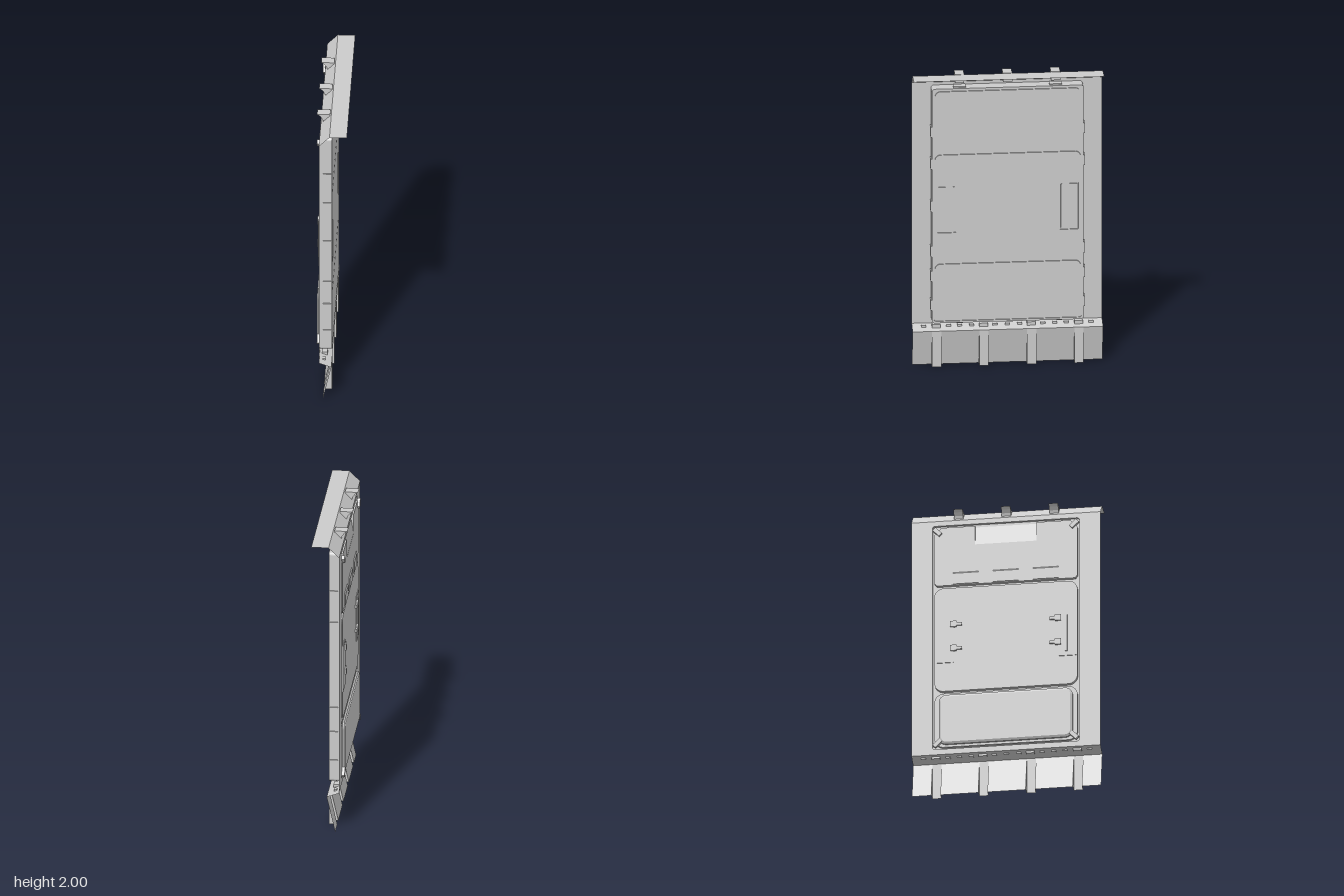
import * as THREE from 'three';

const mat = new THREE.MeshStandardMaterial({ color: 0xcccccc, side: THREE.DoubleSide });

// Rounded rectangle outline; u runs along -z, v along y
function roundRect(u0, u1, v0, v1, r, Type = THREE.Shape) {
  const s = new Type();
  s.moveTo(u0 + r, v0);
  s.lineTo(u1 - r, v0);
  s.absarc(u1 - r, v0 + r, r, -Math.PI / 2, 0);
  s.lineTo(u1, v1 - r);
  s.absarc(u1 - r, v1 - r, r, 0, Math.PI / 2);
  s.lineTo(u0 + r, v1);
  s.absarc(u0 + r, v1 - r, r, Math.PI / 2, Math.PI);
  s.lineTo(u0, v0 + r);
  s.absarc(u0 + r, v0 + r, r, Math.PI, Math.PI * 1.5);
  return s;
}

export function createModel() {
  const model = new THREE.Group();
  const add = (name, geo) => {
    const m = new THREE.Mesh(geo, mat);
    m.name = name;
    model.add(m);
    return m;
  };
  // Upright slab lying in the y-z plane between x0 and x1
  const slab = (name, shape, x0, x1) => {
    const g = new THREE.ExtrudeGeometry(shape, { depth: x1 - x0, bevelEnabled: false, curveSegments: 4 });
    return add(name, g.rotateY(Math.PI / 2).translate(x0, 0, 0));
  };
  const box = (name, x0, x1, y0, y1, z, w) =>
    add(name, new THREE.BoxGeometry(x1 - x0, y1 - y0, w).translate((x0 + x1) / 2, (y0 + y1) / 2, z));
  // Thin sheet: an x-y profile swept from z0 to z1
  const sheet = (name, profile, z0, z1) => {
    const p = [];
    for (let i = 0; i + 1 < profile.length; i++) {
      const [a, b] = profile[i], [c, d] = profile[i + 1];
      p.push(a, b, z0, c, d, z0, c, d, z1, a, b, z0, c, d, z1, a, b, z1);
    }
    const g = new THREE.BufferGeometry();
    g.setAttribute('position', new THREE.Float32BufferAttribute(p, 3));
    g.computeVertexNormals();
    return add(name, g);
  };
  // Solid prism: an x-y outline extruded along z
  const prism = (name, pts, z, w) => {
    const s = new THREE.Shape(pts.map(p => new THREE.Vector2(...p)));
    return add(name, new THREE.ExtrudeGeometry(s, { depth: w, bevelEnabled: false }).translate(0, 0, z - w / 2));
  };

  // Surround plate with opening, top flange
  const W = 0.615;
  const plate = new THREE.Shape([[-W, 0.275], [W, 0.275], [W, 1.93], [-W, 1.93]].map(p => new THREE.Vector2(...p)));
  plate.holes.push(roundRect(-0.49, 0.49, 0.3, 1.91, 0.02, THREE.Path));
  add('surroundPlate', new THREE.ShapeGeometry(plate, 4).rotateY(Math.PI / 2).translate(-0.08, 0, 0));
  sheet('topFlange', [[-0.08, 1.93], [-0.012, 2], [0.1, 2]], -W, W);

  // Hooks behind the top flange
  for (const z of [-0.31, 0, 0.31])
    prism('topHook', [[-0.02, 1.94], [-0.02, 1.999], [-0.104, 1.999], [-0.085, 1.985], [-0.07, 1.965], [-0.062, 1.94]], z, 0.06);

  // Bottom ledge, slanted skirt and hollow ribs
  sheet('ledge', [[-0.08, 0.275], [0, 0.245]], -W, W);
  const ribs = [-0.46, -0.154, 0.154, 0.46], rw = 0.03;
  let z0 = -W;
  for (const z of [...ribs, W + rw]) {
    sheet('skirt', [[0, 0.245], [-0.055, 0]], z0, z - rw);
    z0 = z + rw;
  }
  for (const z of ribs) {
    sheet('ribFront', [[0, 0.245], [0, 0]], z - rw, z + rw);
    for (const s of [-1, 1]) {
      const side = new THREE.Shape([[0, 0.245], [-0.055, 0], [0, 0]].map(p => new THREE.Vector2(...p)));
      add('ribSide', new THREE.ShapeGeometry(side).translate(0, 0, z + s * rw));
    }
    box('ledgeClip', -0.065, -0.03, 0.255, 0.28, z, 0.055);
  }
  for (const z of [-0.54, -0.38, -0.307, -0.23, -0.08, 0, 0.08, 0.23, 0.307, 0.38, 0.54])
    box('ledgeTab', -0.06, -0.04, 0.258, 0.273, z, 0.03);

  // Door frame ring and core
  const ring = roundRect(-0.49, 0.49, 0.3, 1.91, 0.02);
  ring.holes.push(roundRect(-0.477, 0.477, 0.313, 1.897, 0.015, THREE.Path));
  slab('doorFrame', ring, -0.08, 0);
  slab('doorCore', roundRect(-0.48, 0.48, 0.31, 1.9, 0.015), -0.062, -0.008);

  // Front panels, the middle one with two side pockets
  slab('frontTopPanel', roundRect(-0.47, 0.47, 1.47, 1.89, 0.035), -0.008, 0);
  slab('frontBottomPanel', roundRect(-0.47, 0.47, 0.32, 0.705, 0.035), -0.008, 0);
  const mid = roundRect(-0.47, 0.47, 0.72, 1.455, 0.035);
  for (const s of [-1, 1])
    mid.holes.push(roundRect(s * 0.395 - 0.06, s * 0.395 + 0.06, 0.92, 1.24, 0.004, THREE.Path));
  slab('frontMiddlePanel', mid, -0.008, 0);
  for (const s of [-1, 1])
    slab('frontPocket', roundRect(s * 0.395 - 0.053, s * 0.395 + 0.053, 0.927, 1.233, 0.004), -0.008, -0.003);

  // Rear top panel with sloped notch and finger tabs
  const topBack = new THREE.Shape([[-0.45, 1.47], [0.45, 1.47], [0.465, 1.49], [0.465, 1.83], [0.42, 1.88], [0.2, 1.88],
    [0.2, 1.75], [-0.2, 1.75], [-0.2, 1.88], [-0.42, 1.88], [-0.465, 1.83], [-0.465, 1.49]].map(p => new THREE.Vector2(...p)));
  slab('rearTopPanel', topBack, -0.085, -0.06);
  sheet('notchRamp', [[-0.084, 1.75], [-0.062, 1.88]], -0.2, 0.2);
  for (const z of [-0.26, 0, 0.26])
    prism('fingerTab', [[-0.084, 1.475], [-0.084, 1.56], [-0.092, 1.55], [-0.092, 1.475]], z, 0.165);

  // Rear middle panel with side pocket boxes and latches
  slab('rearMiddlePanel', roundRect(-0.465, 0.465, 0.72, 1.45, 0.06), -0.085, -0.06);
  for (const s of [-1, 1]) {
    box('pocketBox', -0.09, -0.084, 0.92, 1.24, s * 0.4, 0.12);
    for (const y of [1.02, 1.19]) {
      box('latch', -0.1, -0.084, y - 0.02, y + 0.02, s * 0.34, 0.04);
      box('latchPin', -0.096, -0.084, y - 0.01, y + 0.01, s * 0.305, 0.04);
    }
  }
  box('pocketRail', -0.096, -0.088, 0.95, 1.21, 0.39, 0.02);

  // Rear bottom panel with raised, bevelled block
  slab('rearBottomPanel', roundRect(-0.465, 0.465, 0.325, 0.705, 0.06), -0.08, -0.06);
  const block = new THREE.ExtrudeGeometry(roundRect(-0.42, 0.42, 0.355, 0.675, 0.035), {
    depth: 0.01, bevelThickness: 0.008, bevelSize: 0.015, bevelSegments: 1, curveSegments: 4 });
  add('raisedBlock', block.rotateY(Math.PI / 2).translate(-0.092, 0, 0));

  // Diagonal corner latches
  for (const s of [-1, 1])
    for (const [y, d] of [[1.85, 1], [0.35, -1]]) {
      const c = box('cornerLatch', -0.01, 0.01, -0.03, 0.03, 0, 0.028);
      c.position.set(-0.09, y, s * 0.445);
      c.rotation.x = s * d * Math.PI / 4;
    }

  // Clips around the frame edge
  for (const s of [-1, 1]) {
    for (const y of [1.61, 1.39, 0.79, 0.62, 0.42]) box('sideClip', -0.06, -0.008, y - 0.035, y + 0.035, s * 0.492, 0.012);
    box('topClip', -0.065, -0.015, 1.9, 1.918, s * 0.31, 0.08);
  }
  box('sideClip', -0.06, -0.008, 1.065, 1.135, 0.492, 0.012);
  for (const z of [-0.31, 0, 0.31]) box('bottomClip', -0.065, -0.015, 0.293, 0.31, z, 0.08);

  return model;
}
